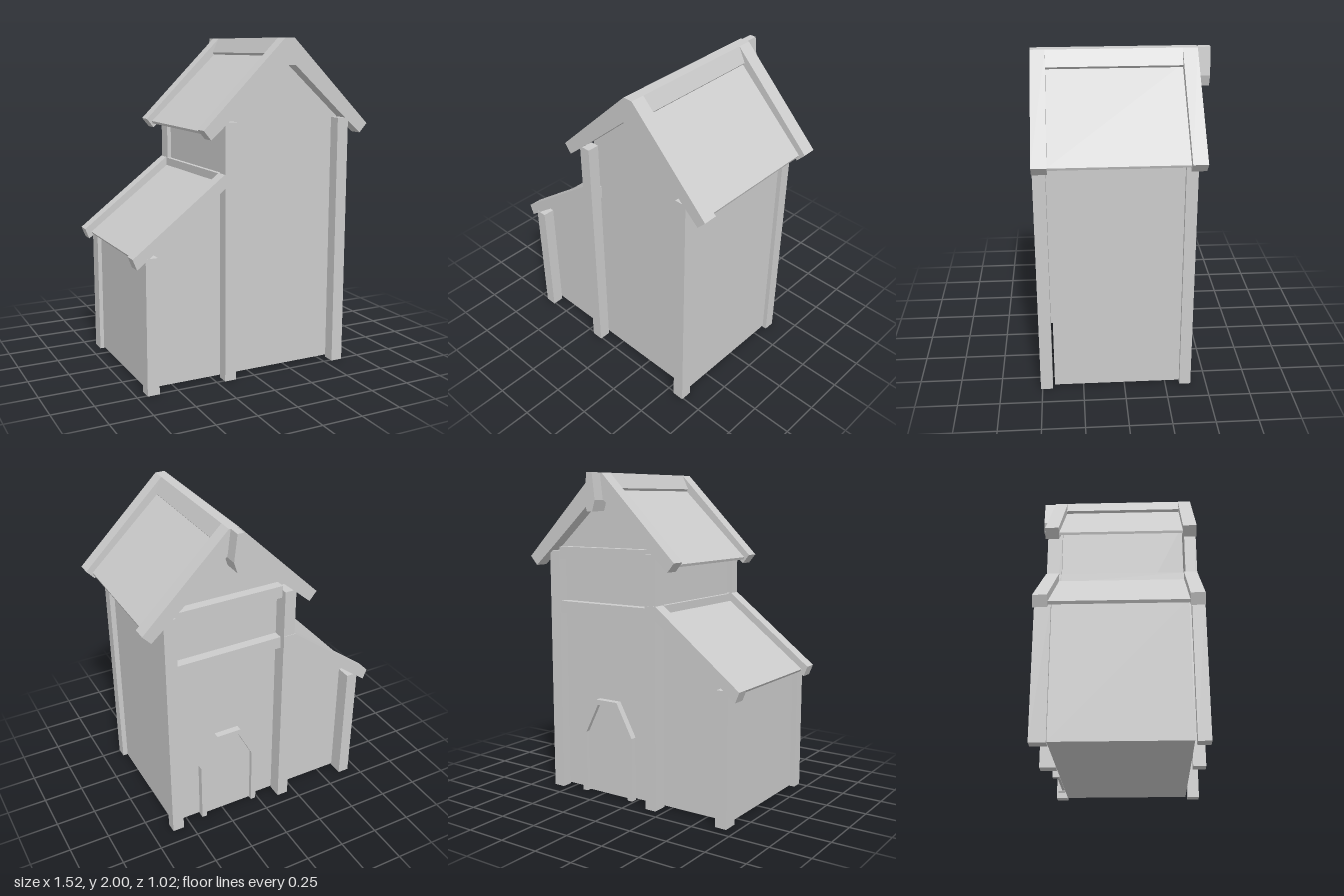
import * as THREE from 'three';

const material = new THREE.MeshStandardMaterial({ color: 0xcccccc, flatShading: true });
const CX = 0.21; // tower centre line

export function createModel() {
  const model = new THREE.Group();

  // extrude an x/y outline between two depths
  function slab(name, points, z0, z1, hole) {
    const shape = new THREE.Shape(points.map(([x, y]) => new THREE.Vector2(x, y)));
    if (hole) shape.holes.push(new THREE.Path(hole.map(([x, y]) => new THREE.Vector2(x, y))));
    const geometry = new THREE.ExtrudeGeometry(shape, { depth: z1 - z0, bevelEnabled: false });
    geometry.translate(0, 0, z0);
    const mesh = new THREE.Mesh(geometry, material);
    mesh.name = name;
    model.add(mesh);
    return mesh;
  }
  const bar = (name, x0, x1, y0, y1, z0, z1) =>
    slab(name, [[x0, y0], [x1, y0], [x1, y1], [x0, y1]], z0, z1);

  // symmetric outline from the half on the +x side, listed bottom to top
  const mirrored = (half) => [
    ...half.map(([dx, y]) => [CX + dx, y]),
    ...half.slice().reverse().map(([dx, y]) => [CX - dx, y]),
  ];

  const FRONT = 0.425, BACK = -0.337;

  // walls
  slab('towerBody', mirrored([[0.385, 0.01], [0.385, 1.58], [0.03, 1.91]]), BACK, FRONT);
  slab('leanToBody', [[-0.665, 0.01], [-0.17, 0.01], [-0.17, 1.19], [-0.665, 0.815]], BACK, FRONT);

  // corner posts: left edge, height, and back depth
  const posts = [
    ['leanToPost', -0.69, 0.8, -0.43],
    ['middlePost', -0.2, 1.53, -0.43],
    ['towerPost', 0.55, 1.53, -0.405],
  ];
  for (const [name, x, height, zBack] of posts) {
    bar(name + 'Front', x, x + 0.073, 0, height, 0.437, 0.51);
    bar(name + 'Back', x, x + 0.073, 0, height, zBack, BACK);
  }

  // gable boards at front and back of both roofs
  const towerGable = [
    [0.76, 1.49], [0.24, 2], [0.18, 2], [-0.335, 1.49], [-0.29, 1.435],
    [-0.13, 1.575], [0.17, 1.845], [0.25, 1.845], [0.55, 1.575], [0.71, 1.435],
  ];
  const leanToGable = [
    [-0.74, 0.742], [-0.62, 0.835], [-0.2, 1.155], [-0.127, 1.155],
    [-0.127, 1.235], [-0.205, 1.235], [-0.765, 0.805],
  ];
  for (const [side, z0, z1] of [['Front', 0.425, 0.51], ['Back', -0.435, -0.35]]) {
    slab('towerGableBoard' + side, towerGable, z0, z1);
    slab('leanToGableBoard' + side, leanToGable, z0 + 0.002, z1 - 0.002);
  }

  // recessed roof panels
  for (const s of [-1, 1]) {
    const panel = [[0.04, 1.918], [0.51, 1.475], [0.505, 1.46], [0.04, 1.9]];
    slab('towerRoofPanel', panel.map(([dx, y]) => [CX + s * dx, y]), -0.36, 0.43);
  }
  slab('leanToRoofPanel', [[-0.725, 0.785], [-0.715, 0.77], [-0.165, 1.19], [-0.165, 1.21]], -0.36, 0.43);
  bar('leanToLedger', -0.2, -0.16, 1.17, 1.232, -0.36, 0.43);

  // ridge beam and its projecting end
  slab('ridgeBeam', mirrored([[0.04, 1.87], [0.075, 1.91], [0.03, 2]]), -0.36, 0.43);
  slab('ridgeEnd', mirrored([[0.02, 1.775], [0.04, 1.84], [0.02, 2]]), -0.51, -0.4);

  // cross beams on the back wall
  for (const y of [1.14, 1.48]) bar('crossBeam', -0.13, 0.555, y, y + 0.075, -0.395, BACK);

  // arched hatch with raised frame on the back wall
  const arch = (inset, base) => mirrored([
    [0.195 - inset, base], [0.195 - inset, 0.4 - inset * 0.3], [0.08 - inset * 0.4, 0.61 - inset],
  ]);
  const outer = arch(0, 0), inner = arch(0.033, 0);
  slab('hatchFrame', [...outer, ...inner.slice().reverse()], -0.378, BACK);
  slab('hatchDoor', arch(0.033, 0.004), -0.352, BACK);

  return model;
}
